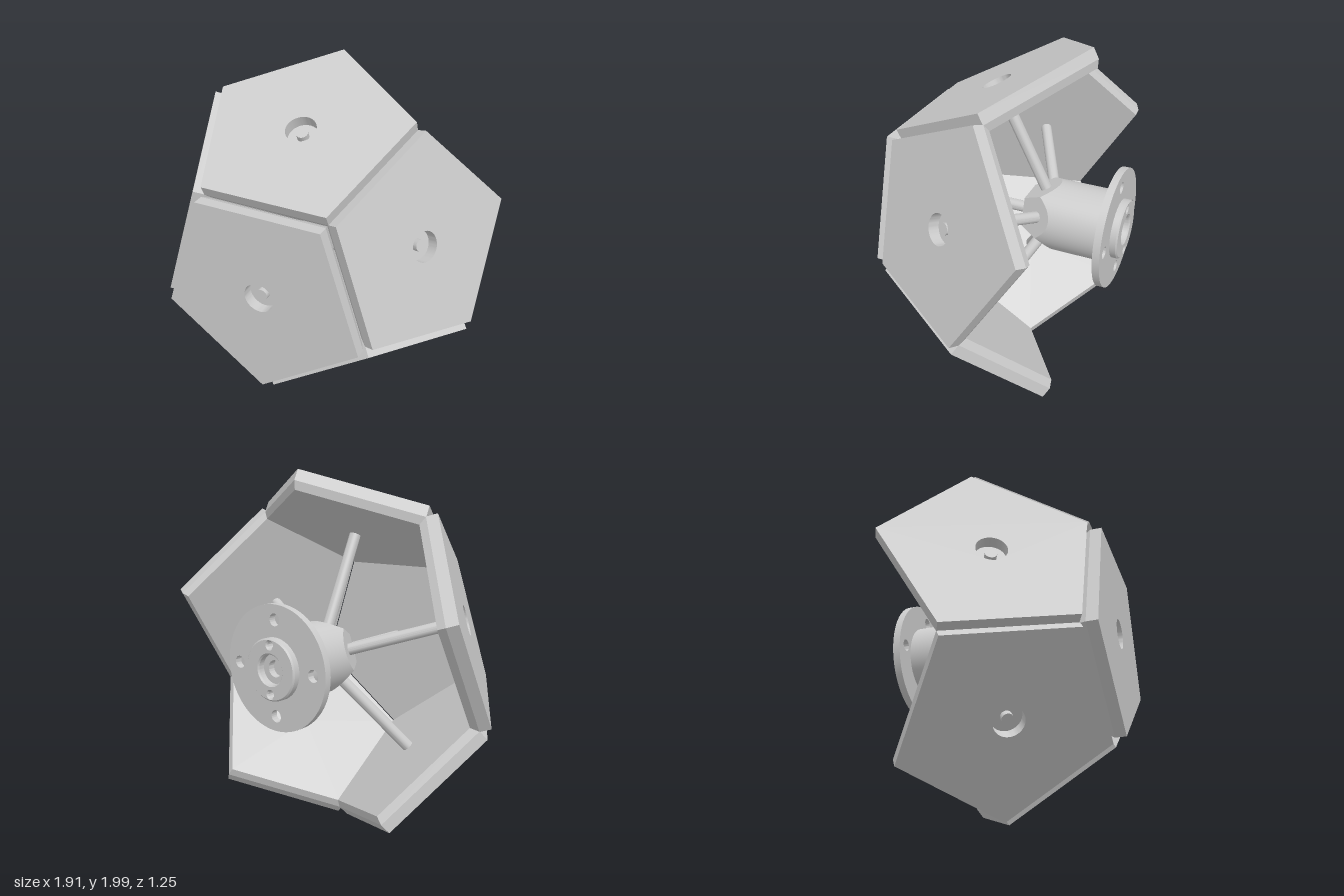
import * as THREE from 'three';
import { toCreasedNormals } from 'three/addons/utils/BufferGeometryUtils.js';

const MAT = new THREE.MeshStandardMaterial({ color: 0xcccccc });
const TILT = Math.atan(2);            // angle between neighbouring dodecahedron faces
const CENTRE_Z = -0.234;              // point where all spokes meet
const R = 0.587, PLATE = 0.062, CHAMFER = 0.042;
const SPOKE_R = 0.032, SPOKE_DEPTH = 0.03;

function mesh(name, geometry, parent) {
  const m = new THREE.Mesh(toCreasedNormals(geometry, 0.4), MAT);
  m.name = name;
  parent.add(m);
  return m;
}

function hole(x, y, r) {
  return new THREE.Path().absarc(x, y, r, 0, Math.PI * 2, true);
}

function disc(r, holes) {
  const s = new THREE.Shape().absarc(0, 0, r, 0, Math.PI * 2, false);
  s.holes = holes.map((h) => hole(...h));
  return s;
}

// Pentagonal plate facing +z with its tip at +y, plus its spoke running back to the hub
function panel(name, spokeLength) {
  const g = new THREE.Group();
  g.name = name;
  const corners = [];
  for (let i = 0; i < 5; i++) {
    const a = Math.PI / 2 + i * Math.PI * 0.4;
    corners.push(new THREE.Vector2(R * Math.cos(a), R * Math.sin(a)));
  }
  const shape = new THREE.Shape(corners);
  shape.holes.push(hole(0, 0, 0.083));
  const plate = new THREE.ExtrudeGeometry(shape, { depth: PLATE, bevelEnabled: false, curveSegments: 32 });
  mesh('plate', plate.translate(0, 0, -PLATE), g);

  // Chamfered inner layer, which also closes the counterbore
  const back = new THREE.CylinderGeometry(R, R - 0.024, CHAMFER, 5);
  back.rotateX(Math.PI / 2).rotateZ(Math.PI).translate(0, 0, -PLATE - CHAMFER / 2);
  mesh('plateBack', back, g);

  const spoke = new THREE.CylinderGeometry(SPOKE_R, SPOKE_R, spokeLength, 24);
  spoke.rotateX(Math.PI / 2).translate(0, 0, -SPOKE_DEPTH - spokeLength / 2);
  mesh('spoke', spoke, g);
  return g;
}

// Round hub whose front end is cut by five slanted facets and one flat facet
function hubGeometry(backZ) {
  const h = 0.175, r = 0.2, n = 80;
  const s = Math.sin(TILT), c = Math.cos(TILT);
  const pos = [], index = [];
  for (let j = 0; j <= n; j++) {
    const a = Math.PI / 2 + (j / n) * Math.PI * 2;
    const step = Math.PI * 0.4, t = (j / n) * Math.PI * 2;
    const k = Math.cos(t - Math.round(t / step) * step);
    const rows = [
      [0, backZ], [r, backZ],
      [r, (h - s * r * k) / c],
      [(h - c * h) / (s * k), h],
      [0, h],
    ];
    for (const [rad, z] of rows) pos.push(rad * Math.cos(a), rad * Math.sin(a), z);
  }
  for (let j = 0; j < n; j++) {
    for (let i = 0; i < 4; i++) {
      const p = j * 5 + i, q = p + 5;
      if (i !== 0) index.push(p, q, q + 1);
      if (i !== 3) index.push(p, q + 1, p + 1);
    }
  }
  const g = new THREE.BufferGeometry();
  g.setAttribute('position', new THREE.Float32BufferAttribute(pos, 3));
  g.setIndex(index);
  return g;
}

export function createModel() {
  const model = new THREE.Group();
  model.name = 'panelArray';

  // Front panel, tip down
  const front = panel('frontPanel', 0.73);
  front.position.set(0, 1, 0.626);
  front.rotation.z = Math.PI;
  model.add(front);

  // Five tilted panels around it
  for (let i = 0; i < 5; i++) {
    const turn = new THREE.Group();
    turn.name = 'sidePanelArm';
    turn.position.y = 1;
    turn.rotation.z = i * Math.PI * 0.4;
    const p = panel('sidePanel', 0.7);
    p.position.set(0, 0.74, 0.136);
    p.rotation.x = -TILT;
    turn.add(p);
    model.add(turn);
  }

  // Hub with mounting flange and boss at the back
  const hub = new THREE.Group();
  hub.name = 'hub';
  hub.position.set(0, 1, 0);
  model.add(hub);
  mesh('hubBody', hubGeometry(-0.545 - CENTRE_Z), hub).position.z = CENTRE_Z;

  const pins = [[0, 0.13, 0.019], [0, -0.13, 0.019]];
  const bolts = [0, 1, 2, 3].map((i) => {
    const a = i * Math.PI / 2;
    return [0.255 * Math.cos(a), 0.255 * Math.sin(a), 0.033];
  });
  const flange = new THREE.ExtrudeGeometry(disc(0.335, [...bolts, ...pins, [0, 0, 0.045]]),
    { depth: 0.04, bevelEnabled: false, curveSegments: 48 });
  mesh('flange', flange.translate(0, 0, -0.584), hub);

  const boss = new THREE.ExtrudeGeometry(disc(0.165, [...pins, [0, 0, 0.08]]), {
    depth: 0.035, bevelEnabled: true, bevelSize: 0.008, bevelThickness: 0.008,
    bevelOffset: -0.008, bevelSegments: 1, curveSegments: 40,
  });
  mesh('boss', boss.translate(0, 0, -0.617), hub);
  return model;
}
